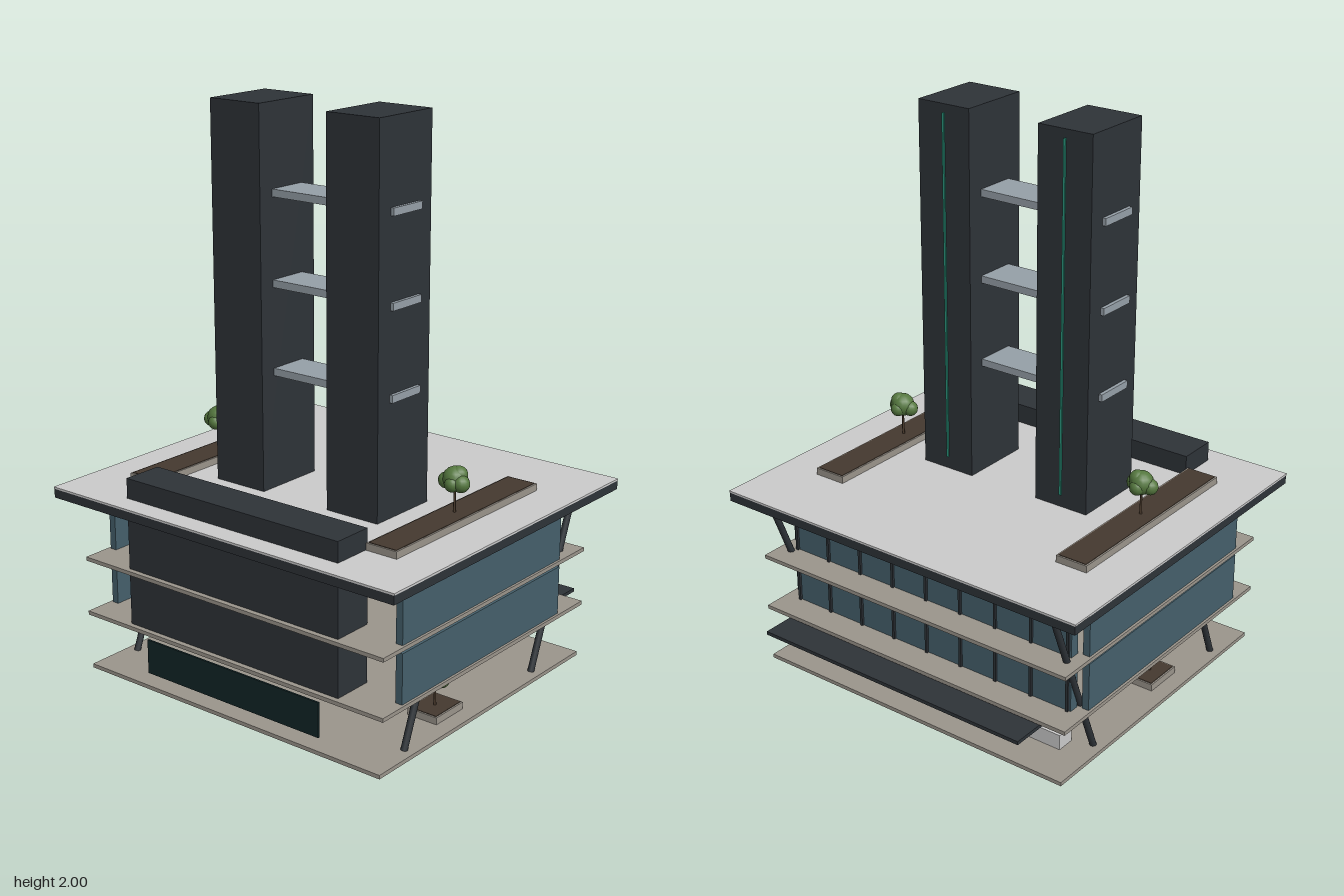
import * as THREE from 'three';

const mat = (color) => new THREE.MeshStandardMaterial({ color });
const M = {
  stone: mat(0x9b958c), dark: mat(0x2e3338), roof: mat(0xc6c8c6), glass: mat(0x45606c),
  steel: mat(0x96a0a8), soil: mat(0x45392f), leaf: mat(0x55783f), bark: mat(0x4a3a2c),
  screen: mat(0x122527), light: mat(0x2a9a80), pale: mat(0xcccccc),
};

export function createModel() {
  const model = new THREE.Group();
  model.name = 'building';

  const add = (name, geometry, material, parent = model) => {
    const mesh = new THREE.Mesh(geometry, material);
    mesh.name = name;
    parent.add(mesh);
    return mesh;
  };
  // Box given by its limits on each axis
  const box = (name, [x0, x1], [y0, y1], [z0, z1], material, parent) => {
    const mesh = add(name, new THREE.BoxGeometry(x1 - x0, y1 - y0, z1 - z0), material, parent);
    mesh.position.set((x0 + x1) / 2, (y0 + y1) / 2, (z0 + z1) / 2);
    return mesh;
  };

  // Ground plate, floor plates and ceiling plate
  box('groundPlate', [-0.64, 0.64], [0, 0.014], [-0.555, 0.605], M.stone);
  for (const y of [0.2, 0.404, 0.621])
    box('floorPlate', [-0.652, 0.652], [y, y + 0.014], [-0.555, 0.605], M.stone);

  // Overhanging roof
  box('roofEdge', [-0.734, 0.734], [0.636, 0.668], [-0.625, 0.663], M.dark);
  box('roofDeck', [-0.736, 0.736], [0.668, 0.675], [-0.626, 0.664], M.roof);

  // Two glazed storeys: side panes, back pane and back mullions
  for (const [y0, y1] of [[0.214, 0.39], [0.418, 0.598]]) {
    for (const s of [-1, 1])
      box('sideGlass', [s * 0.63 - 0.013, s * 0.63 + 0.013], [y0, y1], [-0.41, 0.495], M.glass);
    box('backGlass', [-0.6, 0.6], [y0, y1], [-0.45, -0.415], M.glass);
    for (let i = -4; i <= 4; i++)
      box('mullion', [i * 0.147 - 0.005, i * 0.147 + 0.005], [y0, y1], [-0.458, -0.448], M.dark);
  }

  // Solid front core rising through the roof
  box('frontCore', [-0.458, 0.458], [0.214, 0.747], [0.437, 0.586], M.dark);

  // Street-level screen, back canopy and low sign wall
  box('frontScreen', [-0.382, 0.378], [0.05, 0.175], [0.581, 0.588], M.screen);
  box('backCanopy', [-0.55, 0.55], [0.184, 0.197], [-0.668, -0.475], M.dark);
  box('signWall', [-0.53, -0.22], [0.014, 0.07], [-0.41, -0.342], M.pale);

  // Raking columns
  for (const x of [-0.6, 0.6]) for (const z of [0.425, -0.315]) {
    const a = new THREE.Vector3(x, 0.012, z), b = new THREE.Vector3(x, 0.626, z - 0.243);
    const col = add('rakingColumn', new THREE.CylinderGeometry(0.012, 0.012, a.distanceTo(b), 12), M.dark);
    col.position.lerpVectors(a, b, 0.5);
    col.quaternion.setFromUnitVectors(new THREE.Vector3(0, 1, 0), b.clone().sub(a).normalize());
  }

  // Twin towers with a light strip up the back
  for (const x of [-0.246, 0.244]) {
    box('tower', [x - 0.106, x + 0.106], [0.675, 2], [-0.025, 0.248], M.dark);
    box('lightStrip', [x - 0.004, x + 0.004], [0.72, 1.97], [-0.03, -0.024], M.light);
  }

  // Bridges passing through the towers
  for (const y of [1.088, 1.394, 1.7])
    box('skyBridge', [-0.365, 0.362], [y - 0.013, y + 0.013], [0.037, 0.187], M.steel);

  // Planter: stone tray with soil on top
  const planter = (x, y, z0, z1, h) => {
    const g = new THREE.Group();
    g.name = 'planter';
    model.add(g);
    box('planterTray', [x - 0.06, x + 0.06], [y, y + h], [z0, z1], M.stone, g);
    box('planterSoil', [x - 0.054, x + 0.054], [y + h - 0.005, y + h + 0.002], [z0 + 0.006, z1 - 0.006], M.soil, g);
  };

  // Tree: thin trunk and a clump of leaf balls
  const leaves = [
    [0, 0.118, 0, 0.042], [-0.03, 0.108, 0.006, 0.028], [0.03, 0.108, 0.008, 0.03],
    [0.006, 0.106, 0.024, 0.027], [0.002, 0.108, -0.024, 0.027], [0.012, 0.132, -0.006, 0.03],
  ];
  const tree = (x, y, z) => {
    const g = new THREE.Group();
    g.name = 'tree';
    g.position.set(x, y, z);
    model.add(g);
    add('trunk', new THREE.CylinderGeometry(0.003, 0.005, 0.1, 8), M.bark, g).position.y = 0.05;
    for (const [lx, ly, lz, r] of leaves)
      add('foliage', new THREE.SphereGeometry(r, 14, 10), M.leaf, g).position.set(lx, ly, lz);
  };

  for (const x of [-0.52, 0.52]) {
    planter(x, 0.014, 0.07, 0.22, 0.025);
    tree(x, 0.038, 0.147);
    planter(x, 0.675, -0.347, 0.447, 0.025);
    tree(x, 0.7, 0.055);
  }
  return model;
}
